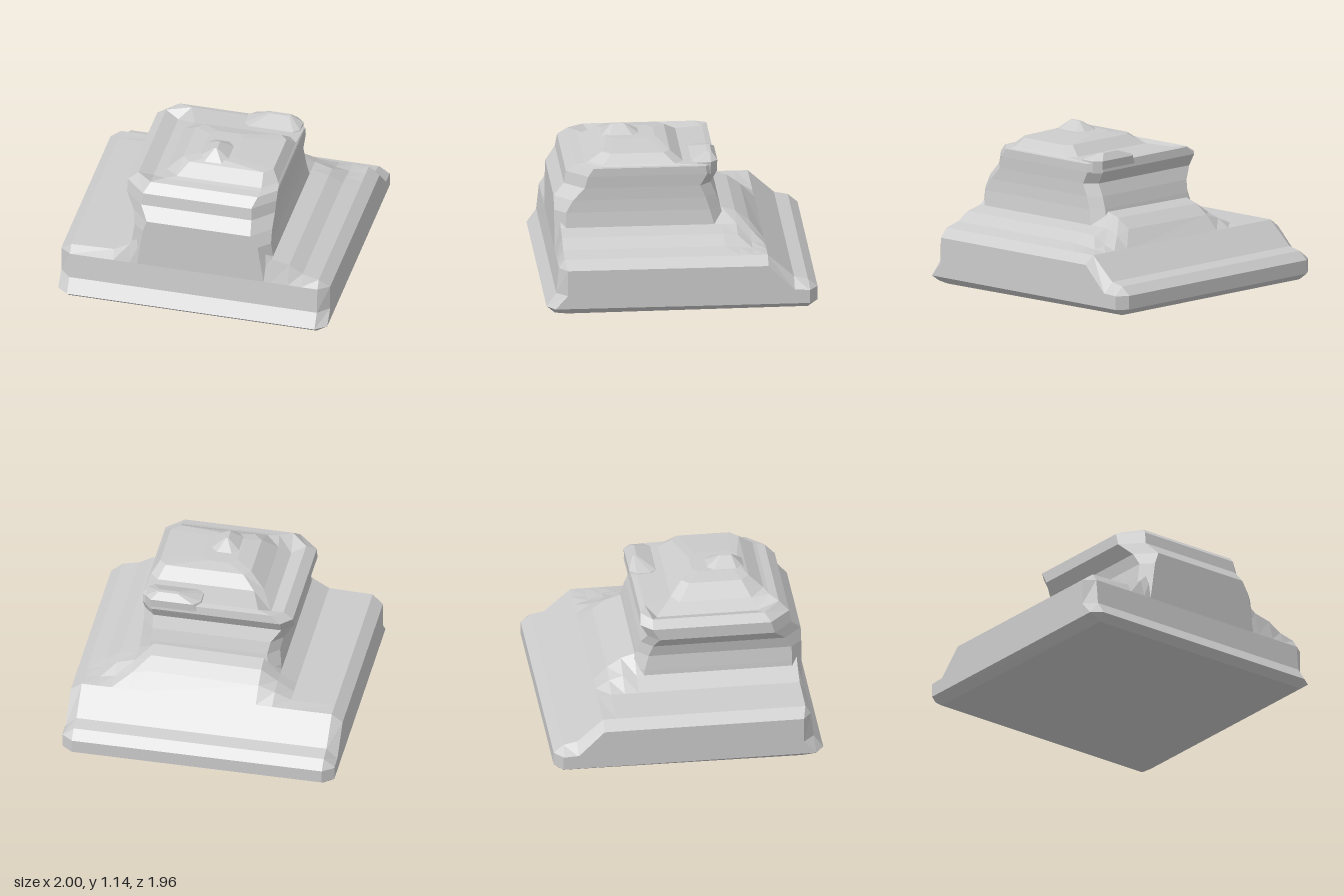
import * as THREE from 'three';

const material = new THREE.MeshStandardMaterial({ color: 0xcccccc, flatShading: true });

// Skins a row of equal-length closed loops and caps both ends.
function loft(name, loops) {
  const pos = [];
  const n = loops[0].length;
  const tri = (a, b, c) => pos.push(...a, ...b, ...c);
  const centre = (loop) => [0, 1, 2].map((k) => loop.reduce((s, p) => s + p[k], 0) / n);
  const first = loops[0], last = loops[loops.length - 1];
  const c0 = centre(first), c1 = centre(last);
  for (let j = 0; j < n; j++) {
    const k = (j + 1) % n;
    for (let i = 0; i < loops.length - 1; i++) {
      const a = loops[i], b = loops[i + 1];
      tri(a[j], a[k], b[k]);
      tri(a[j], b[k], b[j]);
    }
    tri(c0, first[k], first[j]);
    tri(c1, last[j], last[k]);
  }
  // Turn the faces outward when the enclosed volume comes out negative.
  let volume = 0;
  const v = [0, 1, 2].map(() => new THREE.Vector3());
  for (let i = 0; i < pos.length; i += 9) {
    v.forEach((p, q) => p.fromArray(pos, i + q * 3));
    volume += v[0].dot(v[1].clone().cross(v[2]));
  }
  if (volume < 0) {
    for (let i = 0; i < pos.length; i += 9) {
      const b = pos.slice(i + 3, i + 6), c = pos.slice(i + 6, i + 9);
      [...c, ...b].forEach((w, q) => { pos[i + 3 + q] = w; });
    }
  }
  const geo = new THREE.BufferGeometry();
  geo.setAttribute('position', new THREE.Float32BufferAttribute(pos, 3));
  geo.computeVertexNormals();
  const mesh = new THREE.Mesh(geo, material);
  mesh.name = name;
  return mesh;
}

// Side profile of the plinth at x: h is the top height, b1 and b2 the back
// ridge heights, k = 1 pulls the profile in for the chamfered end faces.
function plinthSection(x, h, b1, b2, k = 0) {
  return [
    [0.98 - 0.06 * k, 0.07], [0.91 - 0.08 * k, 0.17], [0.89 - 0.06 * k, 0.36],
    [0.85 - 0.02 * k, h], [-0.32, h], [-0.42, b1], [-0.52, b2],
    [-0.62, 0.42 - 0.06 * k], [-0.81, 0.25 - 0.08 * k], [-0.91, 0.23 - 0.06 * k],
    [-0.98 + 0.06 * k, 0.17], [-0.98 + 0.06 * k, 0.07],
    [-0.91, 0.02 + 0.05 * k], [0.83, 0.01 + 0.06 * k], [0.92, 0.02 + 0.05 * k],
  ].map(([z, y]) => [x, y, z]);
}

// Level loop with cut corners; yl is the height of its -x edge.
function ring(y, x0, x1, z0, z1, front = 0.1, back = 0.08, yl = y) {
  return [
    [x0, yl, z0 + back], [x0 + back, y, z0], [x1 - back, y, z0], [x1, y, z0 + back],
    [x1, y, z1 - front], [x1 - front, y, z1], [x0 + front, y, z1], [x0, yl, z1 - front],
  ];
}

export function createModel() {
  const group = new THREE.Group();
  group.name = 'carvedBlock';

  // Square plinth with a sloping back and a ridge rising to the body
  group.add(loft('plinth', [
    plinthSection(-1, 0.36, 0.36, 0.36, 1),
    plinthSection(-0.92, 0.42, 0.42, 0.42),
    plinthSection(-0.6, 0.43, 0.43, 0.43),
    plinthSection(-0.48, 0.5, 0.51, 0.48),
    plinthSection(-0.36, 0.62, 0.59, 0.52),
    plinthSection(0.45, 0.63, 0.6, 0.53),
    plinthSection(0.57, 0.54, 0.54, 0.5),
    plinthSection(0.7, 0.51, 0.5, 0.45),
    plinthSection(0.8, 0.45, 0.44, 0.43),
    plinthSection(0.92, 0.42, 0.42, 0.42),
    plinthSection(1, 0.36, 0.36, 0.36, 1),
  ]));

  // Body, narrow neck and overhanging head with a groove along its -x side
  group.add(loft('bodyAndHead', [
    ring(0.3, -0.5, 0.6, -0.36, 0.89, 0.07),
    ring(0.54, -0.475, 0.57, -0.34, 0.89, 0.08),
    ring(0.65, -0.46, 0.555, -0.31, 0.89, 0.08),
    ring(0.74, -0.48, 0.55, -0.28, 0.89, 0.13),
    ring(0.83, -0.55, 0.55, -0.24, 0.815, 0.14),
    ring(0.92, -0.55, 0.555, -0.29, 0.8, 0.15),
    ring(0.98, -0.48, 0.555, -0.28, 0.73, 0.12, 0.08, 0.965),
    ring(0.99, -0.38, 0.55, -0.24, 0.67, 0.11, 0.08, 0.925),
    ring(1.0, -0.29, 0.54, -0.04, 0.64, 0.1, 0.06, 0.98),
    ring(1.07, -0.18, 0.49, 0.05, 0.54, 0.06, 0.05),
    ring(1.09, -0.06, 0.2, 0.14, 0.49, 0.05, 0.05),
  ]));

  // Small peak on the crown
  group.add(loft('crownPeak', [
    ring(1.07, -0.08, 0.18, 0.22, 0.53, 0.06, 0.06),
    ring(1.15, 0.04, 0.06, 0.35, 0.44, 0.005, 0.005),
  ]));

  // Raised lip at the back of the head
  group.add(loft('backLip', [
    ring(0.91, 0.08, 0.53, -0.285, -0.06, 0.04, 0.05),
    ring(1.0, 0.12, 0.53, -0.29, -0.1, 0.04, 0.05),
    ring(1.05, 0.28, 0.44, -0.25, -0.22, 0.01, 0.01),
  ]));

  return group;
}
